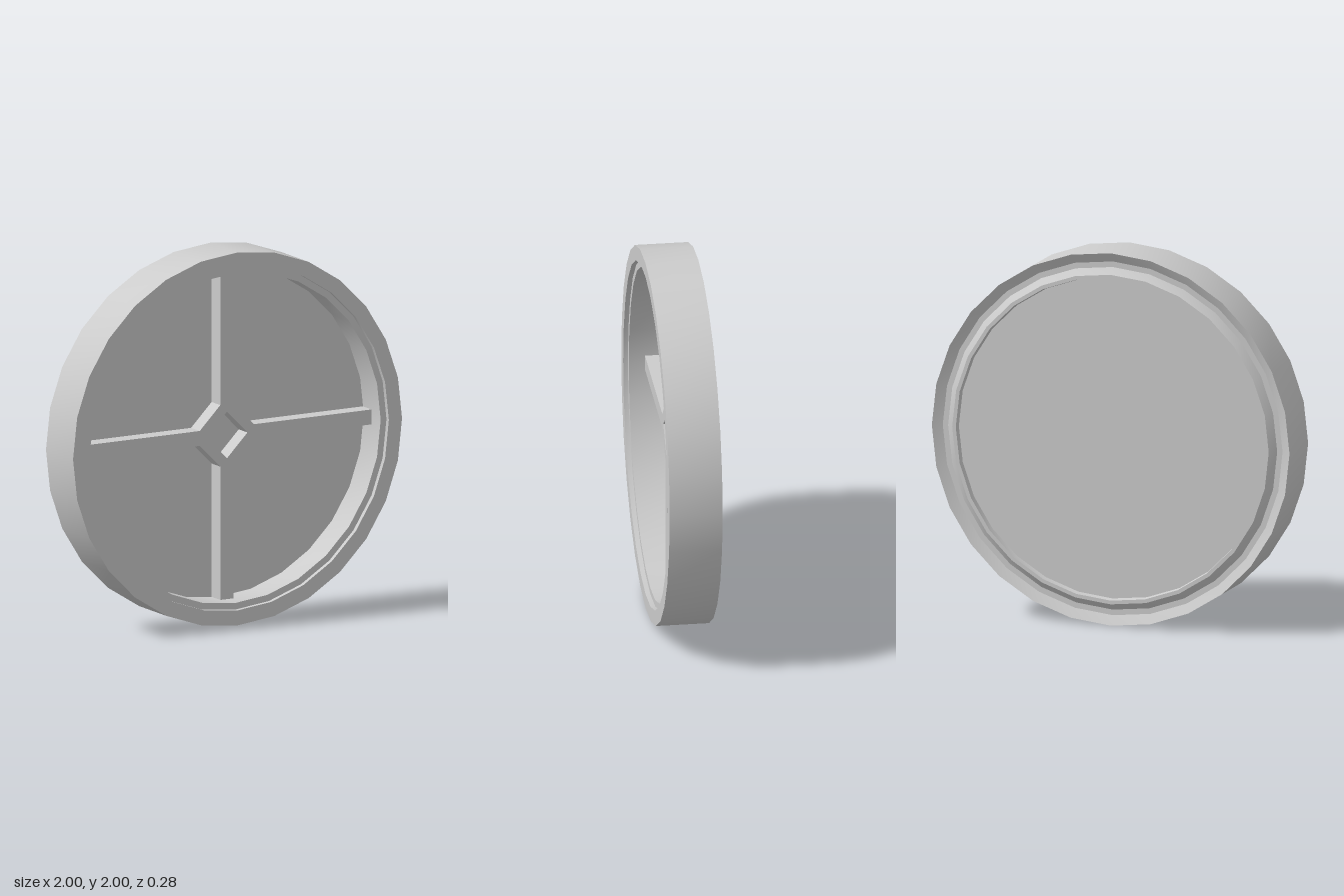
import * as THREE from 'three';
import { toCreasedNormals } from 'three/addons/utils/BufferGeometryUtils.js';

const SIDES = 28;

export function createModel() {
  const model = new THREE.Group();
  const material = new THREE.MeshStandardMaterial({ color: 0xcccccc });

  const add = (name, geometry) => {
    const mesh = new THREE.Mesh(geometry, material);
    mesh.name = name;
    mesh.position.y = 1;
    model.add(mesh);
  };

  // Round housing: [radius, z] from the back centre, round the rim, to the front centre
  const profile = [
    [0, -0.11], [0.86, -0.11],                      // recessed back plate
    [0.865, -0.143], [0.885, -0.143],               // back lip
    [0.92, -0.11], [0.95, -0.11], [1, -0.14],       // shallow back groove
    [1, 0.14], [0.92, 0.14],                        // outer wall and front rim
    [0.92, 0.115], [0.885, 0.115],                  // front ledge
    [0.885, -0.06], [0, -0.06],                     // inner wall and floor
  ].map(([r, z]) => new THREE.Vector2(r, z));
  const housing = new THREE.LatheGeometry(profile, SIDES);
  housing.rotateX(Math.PI / 2);
  add('housing', toCreasedNormals(housing, 0.35));

  // Four spokes joined by a diamond hub with a diamond hole
  const half = 0.04, reach = 0.88, hub = 0.165, hole = 0.125;
  const arm = [[hub, -half], [reach, -half], [reach, half], [hub, half]];
  const outline = [];
  for (let i = 0; i < 4; i++) {
    const turn = i * Math.PI / 2;
    for (const [x, y] of arm) {
      outline.push(new THREE.Vector2(x, y).rotateAround(new THREE.Vector2(), turn));
    }
  }
  const cross = new THREE.Shape(outline);
  cross.holes.push(new THREE.Path([
    new THREE.Vector2(hole, 0), new THREE.Vector2(0, -hole),
    new THREE.Vector2(-hole, 0), new THREE.Vector2(0, hole),
  ]));
  const spokes = new THREE.ExtrudeGeometry(cross, { depth: 0.09, bevelEnabled: false });
  spokes.translate(0, 0, -0.06);
  add('spokesAndHub', spokes);

  return model;
}
